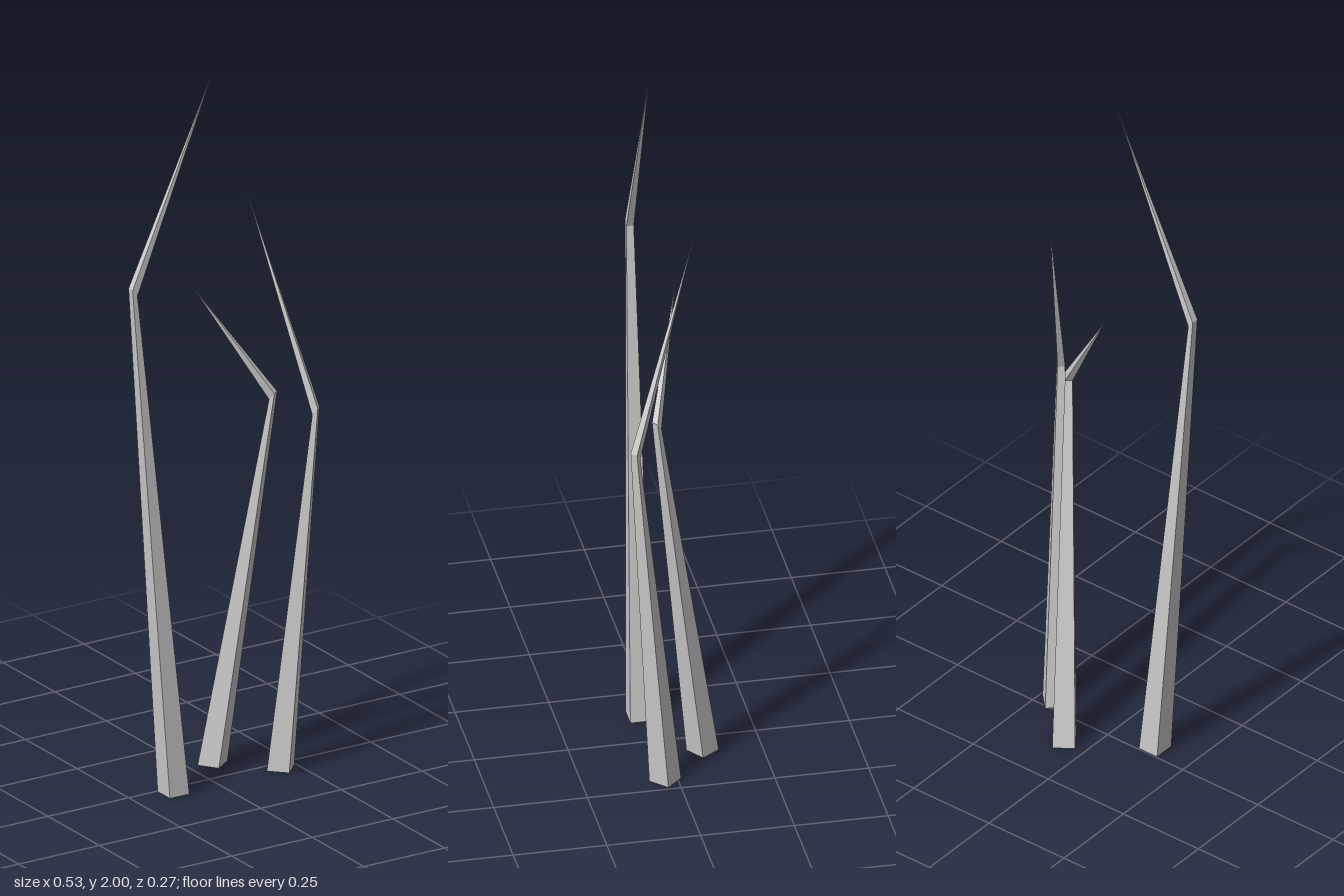
import * as THREE from 'three';

const material = new THREE.MeshStandardMaterial({ color: 0xcccccc, flatShading: true });

// Four corners of a section, turned so that its outer side faces angle `turn`;
// `tilt` raises the outer side and lowers the inner one.
function section([x, y, z], turn, depth, width, tilt) {
  const c = Math.cos(turn), s = Math.sin(turn);
  return [[1, 1], [-1, 1], [-1, -1], [1, -1]].map(([o, w]) => new THREE.Vector3(
    x + o * depth * c - w * width * s,
    y + o * tilt,
    z + o * depth * s + w * width * c));
}

// A bent grass blade: square foot, thin knee, pointed tip
function makeBlade(name, { foot, knee, tip, turn }) {
  const base = section(foot, turn, 0.03, 0.03, 0);
  const bend = section(knee, turn, 0.0075, 0.01, 0.009);
  const point = new THREE.Vector3(...tip);
  const corners = [base[0], base[1], base[2], base[0], base[2], base[3]];
  for (let i = 0; i < 4; i++) {
    const j = (i + 1) % 4;
    corners.push(base[j], base[i], bend[i], base[j], bend[i], bend[j]); // stem side
    corners.push(bend[j], bend[i], point); // tip side
  }
  const geometry = new THREE.BufferGeometry().setFromPoints(corners);
  geometry.computeVertexNormals();
  const mesh = new THREE.Mesh(geometry, material);
  mesh.name = name;
  return mesh;
}

export function createModel() {
  const group = new THREE.Group();
  group.name = 'grassBlades';
  const blades = {
    tallBlade: {
      foot: [-0.132, 0, 0.033], knee: [-0.2575, 1.428, 0.033], tip: [-0.008, 2, 0.033], turn: Math.PI,
    },
    shortBlade: {
      foot: [0.07, 0, -0.094], knee: [0.167, 1.056, 0.048], tip: [-0.025, 1.37, -0.041], turn: 0.952,
    },
    middleBlade: {
      foot: [0.2, 0, 0.0325], knee: [0.252, 1.02, 0.1225], tip: [0.15, 1.6, -0.053], turn: Math.PI / 4,
    },
  };
  for (const [name, shape] of Object.entries(blades)) group.add(makeBlade(name, shape));
  return group;
}
